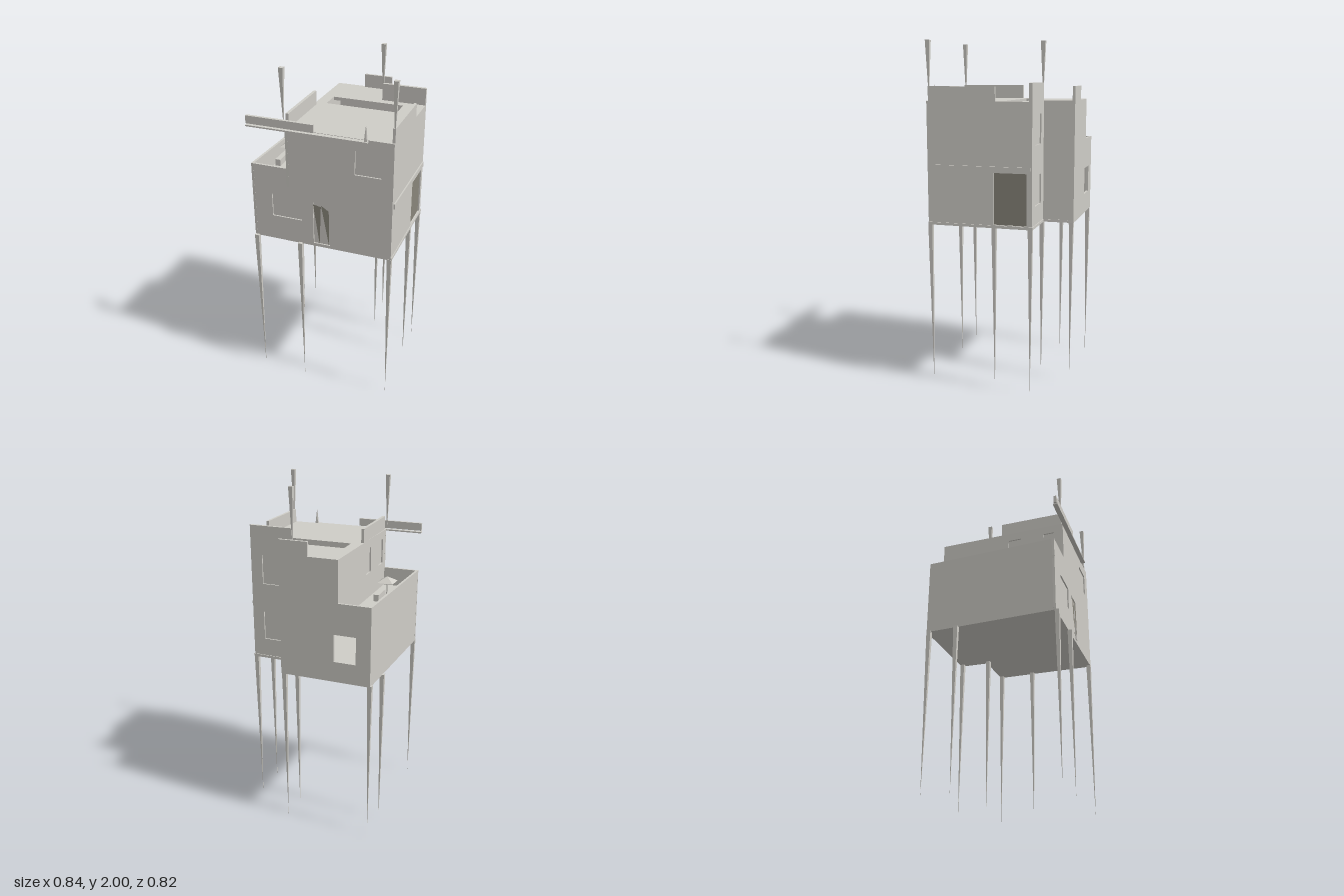
import * as THREE from 'three';

export function createModel() {
  const model = new THREE.Group();
  const plaster = new THREE.MeshStandardMaterial({ color: 0xcfcdc7 });
  plaster.name = 'plaster';
  const doorGrey = new THREE.MeshStandardMaterial({ color: 0x88857a });
  doorGrey.name = 'doorGrey';
  const doorGreyTwoSided = doorGrey.clone();
  doorGreyTwoSided.side = THREE.DoubleSide;

  const add = (name, geo, mat = plaster, parent = model) => {
    const m = new THREE.Mesh(geo, mat);
    m.name = name;
    parent.add(m);
    return m;
  };
  // Box given by its limits
  const box = (name, x0, x1, y0, y1, z0, z1, mat) => {
    const m = add(name, new THREE.BoxGeometry(x1 - x0, y1 - y0, z1 - z0), mat);
    m.position.set((x0 + x1) / 2, (y0 + y1) / 2, (z0 + z1) / 2);
    return m;
  };
  const rectPath = (x0, x1, y0, y1) => new THREE.Path([
    new THREE.Vector2(x0, y0), new THREE.Vector2(x0, y1),
    new THREE.Vector2(x1, y1), new THREE.Vector2(x1, y0)]);
  // Horizontal slab from an outline of [x, z] points
  const slab = (name, pts, y0, y1, hole) => {
    const s = new THREE.Shape(pts.map(([x, z]) => new THREE.Vector2(x, -z)));
    if (hole) s.holes.push(rectPath(hole[0], hole[1], -hole[3], -hole[2]));
    const g = new THREE.ExtrudeGeometry(s, { depth: y1 - y0, bevelEnabled: false });
    g.rotateX(-Math.PI / 2);
    add(name, g).position.y = y0;
  };
  // Wall from a to b, outer face on the line; openings are [u0, u1, y0, y1, paneMaterial]
  const T = 0.014;
  const wall = (name, a, b, y0, y1, openings = []) => {
    const dx = b[0] - a[0], dz = b[1] - a[1], len = Math.hypot(dx, dz);
    const g = new THREE.Group();
    g.name = name;
    g.position.set(a[0], 0, a[1]);
    g.rotation.y = Math.atan2(-dz, dx);
    const s = new THREE.Shape([[0, y0], [len, y0], [len, y1], [0, y1]].map(p => new THREE.Vector2(...p)));
    for (const [u0, u1, v0, v1, pane] of openings) {
      s.holes.push(rectPath(u0, u1, v0, v1));
      if (pane) {
        const p = add('pane', new THREE.BoxGeometry(u1 - u0, v1 - v0, 0.005), pane, g);
        p.position.set((u0 + u1) / 2, (v0 + v1) / 2, -T + 0.003);
      }
    }
    const w = new THREE.ExtrudeGeometry(s, { depth: T, bevelEnabled: false });
    w.translate(0, 0, -T);
    add('wallPanel', w, plaster, g);
    model.add(g);
  };
  // Slender tapered post, widest at the top, pointed at the bottom
  const spike = (name, x, z, y0, y1, r, flip = true) => {
    let g = new THREE.ConeGeometry(r, y1 - y0, 4, 1);
    if (flip) g.rotateX(Math.PI);
    g = g.rotateY(Math.PI / 4).toNonIndexed();
    g.computeVertexNormals();
    add(name, g).position.set(x, (y0 + y1) / 2, z);
  };
  const triangles = (name, pts) => {
    const g = new THREE.BufferGeometry();
    g.setAttribute('position', new THREE.Float32BufferAttribute(pts, 3));
    g.computeVertexNormals();
    add(name, g, doorGreyTwoSided);
  };

  // Plan corners
  const A = [-0.42, 0.38], B = [0.41, 0.38], C = [0.41, -0.23], D = [0.15, -0.23];
  const E = [0.15, -0.41], F = [-0.385, -0.41], G = [-0.205, 0.38], H = [-0.195, -0.41];
  const y0 = 0.985, y1 = 1.32, y2 = 1.67;

  // Floors and roof with stair opening
  slab('baseSlab', [A, [0.415, 0.38], [0.415, -0.235], [0.155, -0.235], E, F], 0.97, y0);
  slab('terraceFloor', [A, B, C, D, E, F], y1 - 0.02, y1);
  slab('roof', [G, B, C, D, E, H], y2 - 0.02, y2, [-0.135, 0.29, -0.165, -0.05]);

  // Lower storey
  wall('lowerFrontWall', A, B, y0, y1 - 0.02, [
    [0.12, 0.30, 1.12, 1.26, plaster], [0.37, 0.47, y0 + 0.003, 1.25, plaster]]);
  wall('lowerRightWall', B, C, y0, y1 - 0.02, [[0.39, 0.58, y0 + 0.003, 1.28, doorGrey]]);
  wall('lowerNotchBack', C, D, y0, y1 - 0.02, [[0.07, 0.20, 1.09, 1.26, plaster]]);
  wall('lowerNotchSide', D, E, y0, y1 - 0.02);
  wall('lowerBackWall', E, F, y0, y1 - 0.02, [[0.32, 0.45, 1.09, 1.25, null]]);
  wall('lowerLeftWall', F, A, y0, y1 - 0.02);

  // Upper storey
  wall('upperFrontWall', G, B, y1, y2 - 0.02, [[0.40, 0.55, 1.46, 1.60, plaster]]);
  wall('upperRightWall', B, C, y1, y2 - 0.02);
  wall('upperNotchBack', C, D, y1, y2 - 0.02, [[0.07, 0.20, 1.43, 1.60, plaster]]);
  wall('upperNotchSide', D, E, y1, y2 - 0.02);
  wall('upperBackWall', E, H, y1, y2 - 0.02);
  wall('upperLeftWall', H, G, y1, y2 - 0.02, [
    [0.44, 0.52, 1.47, 1.62, plaster], [0.665, 0.735, 1.47, 1.62, plaster]]);

  // Terrace parapets
  wall('terraceLeftParapet', F, A, y1, 1.43);
  wall('terraceFrontParapet', A, G, y1, 1.43);
  wall('terraceBackParapet', H, F, y1, 1.43);

  // Roof parapets and loose front beam
  box('roofRightParapet', 0.395, 0.41, y2, 1.75, -0.02, 0.37);
  box('roofLeftParapet', -0.20, -0.183, y2, 1.75, -0.015, 0.37);
  box('roofNotchParapet', 0.15, 0.41, y2, 1.77, -0.23, -0.212);
  box('roofBackParapet', -0.02, 0.15, y2, 1.75, -0.41, -0.395);
  box('frontBeam', -0.425, -0.03, 1.675, 1.72, 0.385, 0.402);
  box('frontBeamRail', -0.425, 0.27, 1.66, 1.668, 0.38, 0.408);
  box('sideBand', 0.41, 0.418, 1.285, 1.315, -0.22, 0.36);

  // Stair below the roof opening: treads with slanting triangular risers
  const n = 13, pitch = 0.0285;
  for (let i = 0; i < n; i++) {
    const x = -0.095 + i * pitch, y = 1.35 + i * 0.022;
    box('stairTread', x, x + pitch, y - 0.01, y, -0.16, -0.052);
    triangles('stairRiser', [x, y + 0.022, -0.16, x, y + 0.002, -0.052, x + pitch, y + 0.024, -0.052]);
  }
  triangles('stairFoot', [-0.097, 1.37, -0.16, -0.127, 1.33, -0.052, -0.07, 1.37, -0.052]);

  // Splinters in the front doorway
  triangles('doorSplinters', [
    -0.048, 1.24, 0.384, -0.012, 0.99, 0.384, -0.002, 1.23, 0.382,
    0.0, 1.24, 0.384, 0.045, 0.99, 0.384, 0.045, 1.21, 0.382]);

  // Terrace parasol and benches
  spike('parasol', -0.315, 0.078, 1.43, 1.462, 0.068, false);
  box('parasolPole', -0.318, -0.312, y1, 1.44, 0.075, 0.081);
  for (const x of [-0.368, -0.268]) {
    box('bench', x - 0.016, x + 0.016, y1, 1.36, 0.02, 0.15);
  }

  // Pointed stilts
  const stilts = [
    [-0.405, 0.385], [-0.13, 0.385], [0.40, 0.37], [-0.395, -0.22], [-0.38, -0.395],
    [0.135, -0.395], [0.135, -0.22], [0.40, -0.01], [0.40, -0.22]];
  stilts.forEach(([x, z]) => spike('stilt', x, z, 0, 0.975, 0.018));

  // Pointed roof posts, widest at the top
  for (const [x, z] of [[0.405, 0.365], [-0.213, 0.37], [0.15, -0.225]]) {
    spike('roofPost', x, z, 1.67, 2, 0.018);
  }
  spike('roofSpur', 0.258, 0.39, 1.668, 1.76, 0.012, false);

  return model;
}
